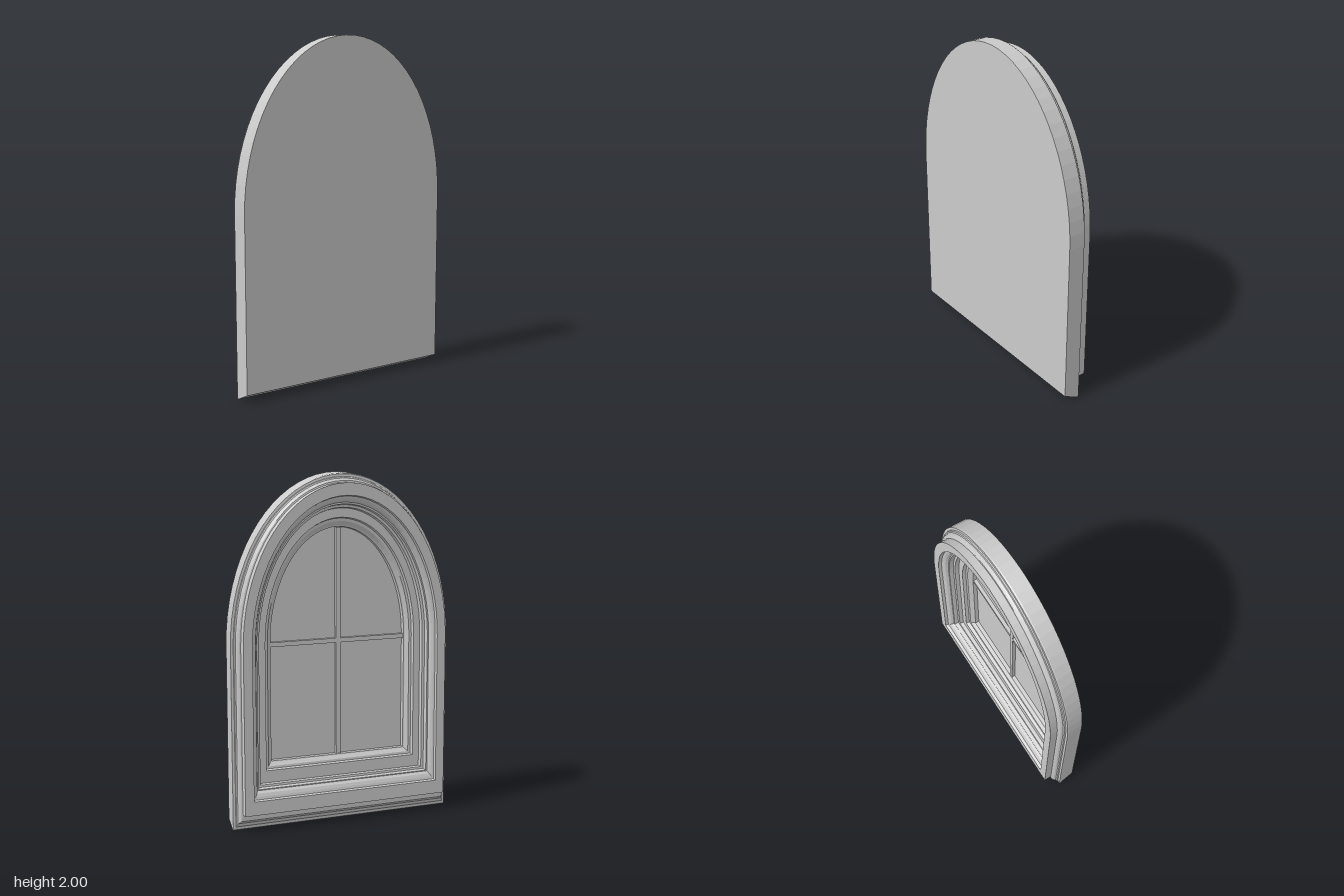
import * as THREE from 'three';

const SPRING = 1.05; // height where the elliptical arch begins
const ARC = 36;

// Arched outline, counter-clockwise seen from +z
function outline([halfWidth, top, bottom]) {
  const pts = [new THREE.Vector2(-halfWidth, bottom), new THREE.Vector2(halfWidth, bottom)];
  for (let i = 0; i <= ARC; i++) {
    const a = (i / ARC) * Math.PI;
    pts.push(new THREE.Vector2(halfWidth * Math.cos(a), SPRING + (top - SPRING) * Math.sin(a)));
  }
  return pts;
}

// Skin through arched rings, each given as [halfWidth, top, bottom, z]
function loft(rings) {
  const pos = [];
  for (let r = 0; r < rings.length - 1; r++) {
    const a = outline(rings[r]), b = outline(rings[r + 1]);
    const za = rings[r][3], zb = rings[r + 1][3];
    for (let i = 0; i < a.length; i++) {
      const j = (i + 1) % a.length;
      const A = [a[i].x, a[i].y, za], B = [b[i].x, b[i].y, zb];
      const C = [b[j].x, b[j].y, zb], D = [a[j].x, a[j].y, za];
      pos.push(...A, ...B, ...C, ...A, ...C, ...D);
    }
  }
  const g = new THREE.BufferGeometry();
  g.setAttribute('position', new THREE.Float32BufferAttribute(pos, 3));
  g.computeVertexNormals();
  return g;
}

// Flat arched panel facing +z, or -z when flipped
function panel([halfWidth, top, bottom, z], flip) {
  const g = new THREE.ShapeGeometry(new THREE.Shape(outline([halfWidth, top, bottom])));
  if (flip) g.rotateY(Math.PI);
  return g.translate(0, 0, z);
}

export function createModel() {
  const group = new THREE.Group();
  const mat = new THREE.MeshStandardMaterial({ color: 0xcccccc, flatShading: true });
  const add = (name, geometry) => {
    const mesh = new THREE.Mesh(geometry, mat);
    mesh.name = name;
    group.add(mesh);
    return mesh;
  };

  // Thick backing slab with a sloped underside
  const front = [0.661, 2.0, 0.045, 0.09];
  const slabEdge = [0.667, 1.995, 0, 0];
  add('frontPanel', panel(front, false));
  add('slabRim', loft([front, slabEdge, [0.667, 1.99, 0.005, -0.008]]));

  // Stepped outer moulding
  const flangeOuter = [0.62, 1.945, 0.1, -0.09];
  add('outerMoulding', loft([
    [0.667, 1.99, 0.005, -0.008],
    [0.652, 1.976, 0.022, -0.01],
    [0.65, 1.974, 0.03, -0.018],
    [0.643, 1.967, 0.043, -0.022],
    [0.638, 1.963, 0.05, -0.034],
    [0.628, 1.955, 0.06, -0.043],
    [0.62, 1.945, 0.1, -0.045],
    flangeOuter,
  ]));

  // Flat face of the casing, then a rounded cove into the opening
  const coveEnd = [0.525, 1.825, 0.235, -0.045];
  add('casing', loft([
    flangeOuter,
    [0.567, 1.875, 0.18, -0.09],
    [0.563, 1.87, 0.185, -0.072],
    [0.552, 1.857, 0.2, -0.068],
    [0.541, 1.844, 0.217, -0.06],
    [0.533, 1.835, 0.23, -0.045],
    coveEnd,
  ]));

  // Recessed sash with a bevelled inner edge
  const glassRing = [0.412, 1.69, 0.37, 0.07];
  add('sash', loft([
    coveEnd,
    [0.52, 1.82, 0.24, -0.02],
    [0.505, 1.805, 0.252, -0.018],
    [0.5, 1.8, 0.255, 0.005],
    [0.46, 1.748, 0.325, 0.005],
    [0.455, 1.742, 0.33, 0.025],
    [0.44, 1.725, 0.343, 0.027],
    [0.422, 1.702, 0.362, 0.045],
    [0.415, 1.693, 0.368, 0.047],
    glassRing,
  ]));
  add('glass', panel(glassRing, true));

  // Crossing glazing bars
  const [halfWidth, top, bottom] = glassRing;
  add('verticalBar', new THREE.BoxGeometry(0.026, top - bottom, 0.022))
    .position.set(0, (top + bottom) / 2, 0.06);
  add('horizontalBar', new THREE.BoxGeometry(2 * halfWidth, 0.026, 0.022))
    .position.set(0, 1.04, 0.06);

  return group;
}
